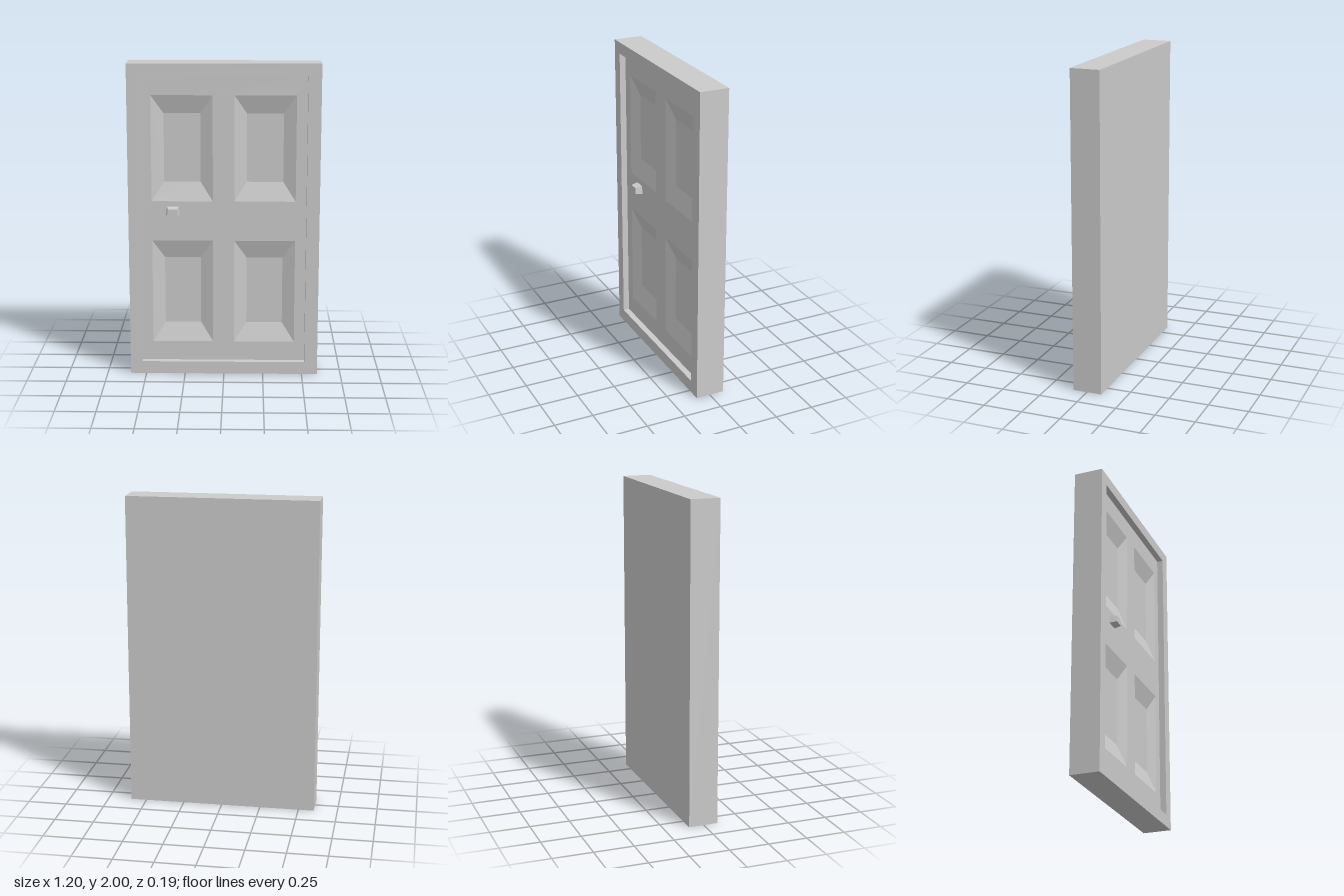
import * as THREE from 'three';

const material = new THREE.MeshStandardMaterial({ color: 0xcccccc, flatShading: true });
const BACK = -0.095, FRONT = 0.09, FACE = 0.05, PANEL = 0.015;

// Corners run anticlockwise as seen from the front.
const rect = (x0, x1, y0, y1) => [[x0, y0], [x1, y0], [x1, y1], [x0, y1]];
const toPoints = (corners) => corners.map(([x, y]) => new THREE.Vector2(x, y));

function addMesh(group, geometry, name) {
  const mesh = new THREE.Mesh(geometry, material);
  mesh.name = name;
  group.add(mesh);
  return mesh;
}

// Four sloped sides from ring a (depth za) to ring b (depth zb), capped at b.
function slopedBlock(a, za, b, zb) {
  const A = a.map(([x, y]) => [x, y, za]);
  const B = b.map(([x, y]) => [x, y, zb]);
  const positions = [];
  const quad = (p, q, r, s) => positions.push(...p, ...q, ...r, ...p, ...r, ...s);
  for (let i = 0; i < 4; i++) {
    const j = (i + 1) % 4;
    quad(A[i], A[j], B[j], B[i]);
  }
  quad(...B);
  const geometry = new THREE.BufferGeometry();
  geometry.setAttribute('position', new THREE.Float32BufferAttribute(positions, 3));
  geometry.computeVertexNormals();
  return geometry;
}

export function createModel() {
  const door = new THREE.Group();
  door.name = 'door';
  const opening = rect(-0.525, 0.518, 0.08, 1.925);

  // Surrounding frame
  const frameShape = new THREE.Shape(toPoints(rect(-0.6, 0.6, 0, 2)));
  frameShape.holes.push(new THREE.Path(toPoints(opening)));
  const frame = new THREE.ExtrudeGeometry(frameShape, { depth: FRONT - BACK, bevelEnabled: false });
  addMesh(door, frame.translate(0, 0, BACK), 'frame');

  // Flat back, flush with the frame
  const back = new THREE.ShapeGeometry(new THREE.Shape(toPoints(opening)));
  back.rotateY(Math.PI).scale(1, 1, 1);
  back.translate(-0.007, 0, BACK);
  addMesh(door, back, 'doorBack');

  // Door face with four sunken panels
  const faceShape = new THREE.Shape(toPoints(opening));
  for (const [row, y0, y1] of [['lower', 0.205, 0.875], ['upper', 1.13, 1.8]]) {
    for (const [side, x0, x1] of [['Right', -0.455, -0.07], ['Left', 0.065, 0.45]]) {
      const outer = rect(x0, x1, y0, y1);
      const inner = rect(x0 + 0.078, x1 - 0.078, y0 + 0.12, y1 - 0.117);
      faceShape.holes.push(new THREE.Path(toPoints(outer)));
      addMesh(door, slopedBlock(outer, FACE, inner, PANEL), `${row}${side}Panel`);
    }
  }
  addMesh(door, new THREE.ShapeGeometry(faceShape).translate(0, 0, FACE), 'doorFace');

  // Tapered handle
  const base = [[-0.366, 1.04], [-0.28, 1.04], [-0.286, 1.095], [-0.359, 1.095]];
  const tip = [[-0.357, 1.047], [-0.288, 1.047], [-0.293, 1.087], [-0.351, 1.087]];
  addMesh(door, slopedBlock(base, FACE, tip, 0.095), 'handle');

  return door;
}
